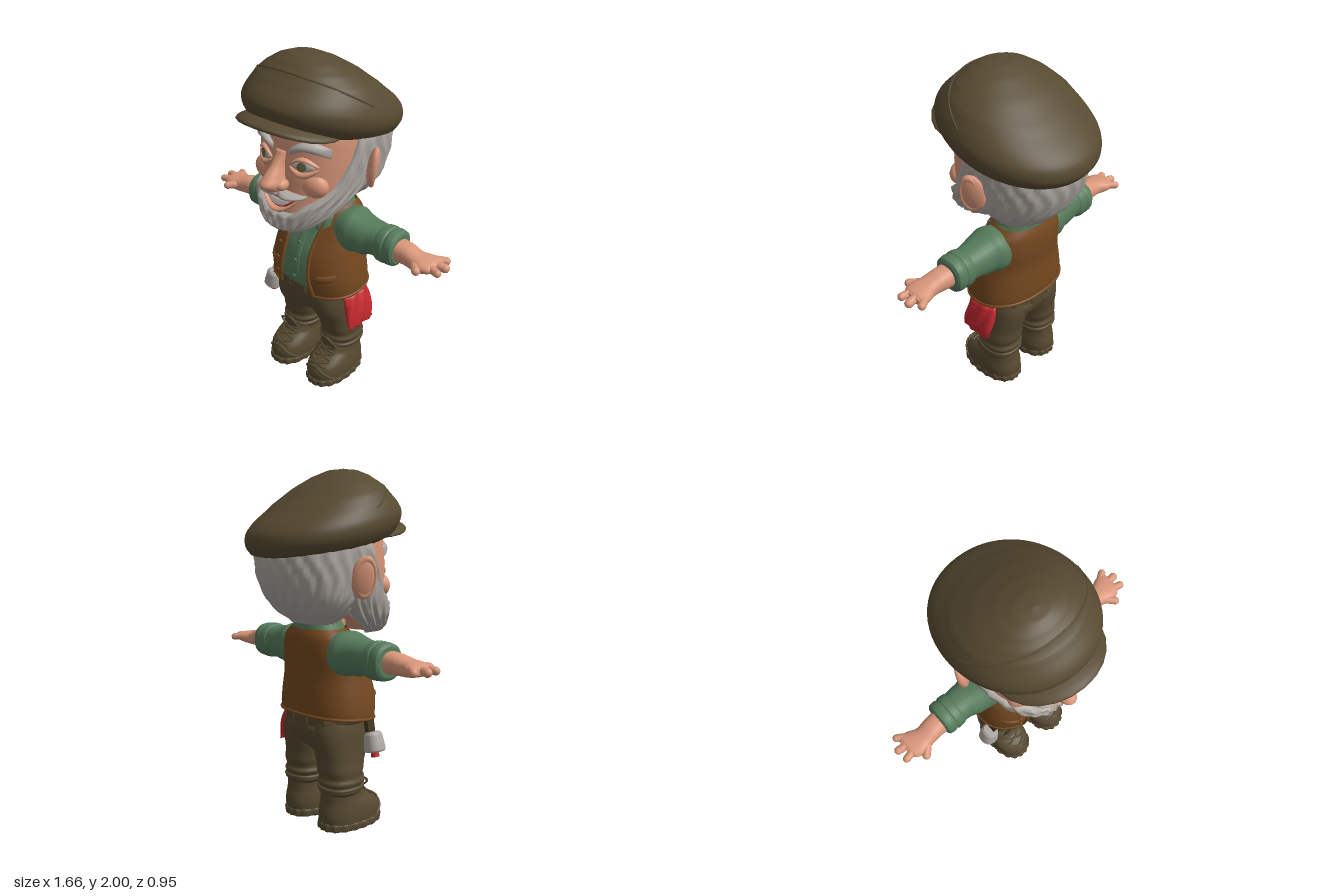
import * as THREE from 'three';

const mat = (name, color, side = THREE.FrontSide) => {
  const m = new THREE.MeshStandardMaterial({ color, side });
  m.name = name;
  return m;
};

export function createModel() {
  const root = new THREE.Group();
  const M = {
    skin: mat('skin', 0xd9977a), olive: mat('oliveCloth', 0x574a31), hair: mat('greyHair', 0xaea8a2),
    shirt: mat('greenShirt', 0x567b5b, THREE.DoubleSide), vest: mat('brownVest', 0x74481f, THREE.DoubleSide),
    red: mat('redCloth', 0xc3282d), teeth: mat('teeth', 0xe4ddd2), iris: mat('iris', 0x6a6544), dark: mat('darkBrown', 0x40331f),
  };
  const add = (name, geo, m) => {
    const mesh = new THREE.Mesh(geo, m);
    mesh.name = name;
    root.add(mesh);
  };
  // Adds a part and its mirror image across x = 0
  const pair = (name, geo, m) => {
    add(name + 'Left', geo, m);
    const g = geo.clone().scale(-1, 1, 1), ix = g.index;
    for (let i = 0; i < ix.count; i += 3) {
      const b = ix.getX(i + 1);
      ix.setX(i + 1, ix.getX(i + 2));
      ix.setX(i + 2, b);
    }
    add(name + 'Right', g, m);
  };
  // Smoothly interpolates table rows by their first column
  const at = (rows, y) => {
    let i = 0;
    while (i < rows.length - 2 && y > rows[i + 1][0]) i++;
    const p = rows[Math.max(0, i - 1)], a = rows[i], b = rows[i + 1], q = rows[Math.min(rows.length - 1, i + 2)];
    const t = Math.min(1, Math.max(0, (y - a[0]) / (b[0] - a[0])));
    return a.slice(1).map((v, k) => {
      k++;
      const m0 = (b[k] - p[k]) / 2, m1 = (q[k] - v) / 2, d = b[k] - v;
      return v + t * (m0 + t * (3 * d - 2 * m0 - m1 + t * (m0 + m1 - 2 * d)));
    });
  };
  // Point on a stack of rounded sections; rows are [y, cx, cz, rx, rz, slope, squareness]
  const N = 2.3;
  const point = (rows, y, a, off = 0, shrink = 1) => {
    const [cx, cz, rx, rz, s = 0, n = N] = at(rows, y), c = Math.sin(a), d = Math.cos(a);
    const r = shrink / (Math.abs(c) ** n + Math.abs(d) ** n) ** (1 / n);
    const z = d * r * (rz + off);
    return [cx + c * r * (rx + off), y + s * z, cz + z];
  };
  const grid = (nu, nv, f, wrap = false) => {
    const pos = [], idx = [], w = wrap ? nu : nu + 1;
    for (let j = 0; j <= nv; j++) for (let i = 0; i < w; i++) pos.push(...f(i / nu, j / nv));
    for (let j = 0; j < nv; j++) for (let i = 0; i < nu; i++) {
      const a = j * w + i, b = j * w + (i + 1) % w;
      idx.push(a, b, b + w, a, b + w, a + w);
    }
    const g = new THREE.BufferGeometry();
    g.setAttribute('position', new THREE.Float32BufferAttribute(pos, 3));
    g.setIndex(idx);
    g.computeVertexNormals();
    return g;
  };
  // Closed loft through the sections
  const loft = (rows, off = () => 0, nu = 44) => {
    const n = (rows.length - 1) * 6;
    return grid(nu, n + 2, (u, v) => {
      const j = Math.round(v * (n + 2)) - 1, t = Math.min(n, Math.max(0, j)), k = Math.min(rows.length - 2, Math.floor(t / 6));
      const y = rows[k][0] + (rows[k + 1][0] - rows[k][0]) * (t / 6 - k), a = u * Math.PI * 2;
      return point(rows, y, a, off(a, y), j < 0 || j > n ? 0.001 : 1);
    }, true);
  };
  // Raised patch following the front (or back) of a loft
  const patch = (rows, x0, x1, top, bot, off, bulge = 0, dir = 1) => grid(18, 8, (u, v) => {
    const s = dir > 0 ? u : 1 - u, x = x0 + (x1 - x0) * s, y = bot(s) + (top(s) - bot(s)) * v;
    const [cx, cz, rx, rz] = at(rows, y), q = Math.min(0.97, Math.abs((x - cx) / rx));
    const h = Math.sqrt(Math.max(0, Math.sin(Math.PI * u) * Math.sin(Math.PI * v)));
    return [x, y, cz + dir * (rz * (1 - q ** N) ** (1 / N) + off + bulge * h)];
  });
  const ball = (x, y, z, rx, ry, rz) => new THREE.SphereGeometry(1, 24, 16).scale(rx, ry, rz).translate(x, y, z);
  const tube = (pts, r, n = 40) => new THREE.TubeGeometry(
    new THREE.CatmullRomCurve3(pts.map(p => new THREE.Vector3(...p))), n, r, 8);
  const path = (n, f) => Array.from({ length: n + 1 }, (_, i) => f(i / n));

  // Head and hair
  const head = [[1.065, 0, 0.27, 0.01, 0.01], [1.08, 0, 0.26, 0.07, 0.045], [1.1, 0, 0.24, 0.12, 0.085], [1.14, 0, 0.2, 0.17, 0.13],
    [1.2, 0, 0.14, 0.22, 0.185], [1.3, 0, 0.06, 0.265, 0.25], [1.4, 0, 0.03, 0.285, 0.275],
    [1.5, 0, 0.01, 0.298, 0.285], [1.6, 0, 0, 0.302, 0.285], [1.7, 0, 0, 0.29, 0.27]];
  add('head', loft(head.slice(2)), M.skin);
  const strands = (a, y) => 0.005 * Math.sin(a * 22 + 3 * Math.sin(y * 17)) + 0.003 * Math.sin(a * 41 - y * 30);
  add('hair', loft([[1.16, 0, -0.1, 0.14, 0.1], [1.22, 0, -0.11, 0.22, 0.17], [1.3, 0, -0.11, 0.275, 0.235],
    [1.4, 0, -0.11, 0.3, 0.28], [1.5, 0, -0.1, 0.315, 0.31], [1.6, 0, -0.09, 0.32, 0.312], [1.68, 0, -0.09, 0.31, 0.3]], strands, 120), M.hair);
  add('neck', loft([[1.0, 0, -0.05, 0.12, 0.11], [1.25, 0, -0.03, 0.13, 0.12]]), M.skin);

  // Beard with sideburns: a shell from the cheek line down to the chin
  const beardTop = [[0, 1.195], [25, 1.205], [35, 1.25], [50, 1.3], [65, 1.37], [76, 1.5], [84, 1.64], [104, 1.64], [112, 1.42], [130, 1.35]];
  add('beard', grid(110, 30, (u, v) => {
    const deg = (u * 2 - 1) * 130, a = deg * Math.PI / 180, top = at(beardTop, Math.abs(deg))[0];
    const y = 1.066 + (top - 1.066) * v, edge = Math.min(1, (1 - v) * 7, v * 14);
    return point(head, y, a, 0.03 * Math.sqrt(edge) - 0.004 + edge * strands(a, y));
  }), M.hair);

  // Face
  add('nose', loft([[1.315, 0, 0.32, 0.02, 0.03], [1.33, 0, 0.335, 0.04, 0.065], [1.37, 0, 0.355, 0.05, 0.084],
    [1.405, 0, 0.345, 0.042, 0.07], [1.46, 0, 0.31, 0.031, 0.045], [1.53, 0, 0.28, 0.036, 0.025]], undefined, 28), M.skin);
  pair('nostril', ball(0.045, 1.36, 0.335, 0.028, 0.03, 0.04), M.skin);
  pair('cheek', ball(0.15, 1.36, 0.222, 0.1, 0.075, 0.062), M.skin);
  pair('eyeWhite', patch(head, 0.075, 0.195, u => 1.465 + 0.034 * Math.sin(Math.PI * u), u => 1.465 - 0.024 * Math.sin(Math.PI * u), 0.002, 0.008), M.hair);
  pair('iris', patch(head, 0.11, 0.16, u => 1.47 + 0.026 * Math.sin(Math.PI * u) ** 0.5, u => 1.47 - 0.026 * Math.sin(Math.PI * u) ** 0.5, 0.011, 0.002), M.iris);
  pair('upperLid', patch(head, 0.06, 0.21, u => 1.475 + 0.045 * Math.sin(Math.PI * u), u => 1.46 + 0.034 * Math.sin(Math.PI * u), 0, 0.02), M.skin);
  pair('eyeBag', patch(head, 0.06, 0.215, u => 1.465 - 0.024 * Math.sin(Math.PI * u), u => 1.455 - 0.05 * Math.sin(Math.PI * u), 0, 0.018), M.skin);
  pair('eyebrow', patch(head, 0.055, 0.25, u => 1.55 + 0.055 * Math.sin(Math.PI * u * 0.9), u => 1.515 + 0.035 * Math.sin(Math.PI * u), 0, 0.036), M.hair);
  const smile = u => (2 * u - 1) ** 2;
  add('mouth', patch(head, -0.115, 0.115, u => 1.27 + 0.02 * smile(u), u => 1.215 + 0.075 * smile(u), 0.006, 0.004), M.red);
  add('teeth', patch(head, -0.105, 0.105, u => 1.27 + 0.016 * smile(u), u => 1.229 + 0.055 * smile(u), 0.014, 0.004), M.teeth);
  add('lowerLip', patch(head, -0.13, 0.13, u => 1.221 + 0.072 * smile(u), u => 1.192 + 0.09 * smile(u), 0.004, 0.03), M.skin);
  pair('moustache', patch(head, 0, 0.16, u => 1.33 - 0.02 * u, u => 1.272 + 0.02 * u * u, 0.004, 0.055), M.hair);
  pair('ear', ball(0, 0, 0, 0.03, 0.115, 0.068).rotateY(0.55).rotateZ(-0.15).translate(0.335, 1.42, -0.04), M.skin);
  pair('earRim', new THREE.TorusGeometry(0.075, 0.016, 10, 28).scale(0.65, 1.28, 1).rotateY(Math.PI / 2 + 0.55).rotateZ(-0.15).translate(0.345, 1.42, -0.035), M.skin);

  // Flat cap
  const cap = [[1.575, 0, -0.03, 0.3, 0.34, 0.18], [1.6, 0, -0.04, 0.36, 0.405, 0.18], [1.665, 0, -0.035, 0.392, 0.442, 0.18],
    [1.74, 0, -0.02, 0.383, 0.424, 0.17], [1.845, 0, 0.01, 0.325, 0.305, 0.18], [1.91, 0, 0.05, 0.255, 0.22, 0.12], [1.96, 0, 0.085, 0.175, 0.14, 0.05],
    [1.99, 0, 0.105, 0.09, 0.075, 0], [2.0, 0, 0.11, 0.005, 0.005, 0]].map(r => [...r, 2.08]);
  add('cap', loft(cap, undefined, 64), M.olive);
  add('capSeam', tube(path(16, t => point(cap, 1.91 - 0.14 * (2 * t - 1) ** 2, (2 * t - 1) * 1.5, -0.002)), 0.006), M.olive);
  const brim = ball(0, 0, 0.215, 0.3, 0.042, 0.262), bp = brim.attributes.position;
  for (let i = 0; i < bp.count; i++) bp.setY(i, bp.getY(i) + 1.682 - 0.5 * bp.getX(i) ** 2 + 0.1 * (bp.getZ(i) - 0.215));
  brim.computeVertexNormals();
  add('capBrim', brim, M.olive);

  // Shirt
  const vest = [[0.6, 0, 0, 0.285, 0.2], [0.66, 0, -0.005, 0.295, 0.215], [0.75, 0, -0.002, 0.286, 0.219], [0.88, 0, -0.012, 0.262, 0.2],
    [1.0, 0, -0.048, 0.245, 0.17], [1.09, 0, -0.067, 0.22, 0.144], [1.15, 0, -0.078, 0.155, 0.11]];
  const torso = vest.slice(1).map(([y, x, z, a, b]) => [y, x, z, a - 0.018, b - 0.014]);
  add('shirt', loft(torso), M.shirt);
  add('collar', grid(40, 6, (u, v) => point([[1.07, 0, -0.07, 0.18, 0.14], [1.12, 0, -0.07, 0.16, 0.13], [1.19, 0, -0.075, 0.135, 0.12]],
    1.07 + 0.12 * v, u * Math.PI * 2), true), M.shirt);
  pair('collarFlap', patch(torso, 0.012, 0.15, () => 1.13, u => 1.06 - 0.055 * (1 - Math.abs(u - 0.6) / 0.6), 0.022, 0.012), M.shirt);
  add('throat', patch(torso, -0.025, 0.025, () => 1.07, u => 1.0 + 0.06 * Math.abs(2 * u - 1), 0.006), M.skin);
  add('shirtPlacket', patch(torso, -0.025, 0.025, () => 1.0, () => 0.67, 0.003, 0.006), M.shirt);
  const onFront = (x, y, r, o) => {
    const [, cz, rx, rz] = at(vest, y);
    return ball(x, y, cz + rz * (1 - Math.abs(x / rx) ** N) ** (1 / N) + o, r, r, r * 0.6);
  };
  for (const y of [0.72, 0.82, 0.92]) add('shirtButton', onFront(0, y, 0.011, 0), M.shirt);

  // Open vest with rolled edges
  const gap = [[0.6, 0.13], [0.75, 0.105], [0.9, 0.095], [1.0, 0.105], [1.14, 0.125]];
  const vestAt = (u, v) => {
    const yb = 0.62 + 0.515 * v, a0 = Math.asin(at(gap, yb)[0] / at(vest, yb)[2] * 0.95), a = a0 + (2 * Math.PI - 2 * a0) * u;
    return point(vest, yb + 0.02 * (1 - v) * (1 - Math.cos(a)), a, 0.004);
  };
  add('vest', grid(70, 26, vestAt), M.vest);
  pair('vestEdge', tube(path(14, t => vestAt(0, t)), 0.011), M.vest);
  add('vestHem', tube(path(40, t => vestAt(t, 0)), 0.009, 120), M.vest);
  pair('vestPocket', patch(vest, 0.145, 0.25, u => 0.765 + 0.02 * u, u => 0.725 + 0.02 * u, 0.005, 0.012), M.vest);
  for (const y of [0.69, 0.78, 0.87, 0.96]) add('vestButton', onFront(-0.145, y, 0.014, 0.008), M.vest);

  // Sleeves, arms and hands; rows are [x, y, z, height, depth]
  const limb = rows => loft(rows.map(([x, y, ...r]) => [x, -y, ...r]), undefined, 32).rotateZ(-Math.PI / 2);
  pair('sleeve', limb([[0.14, 1, -0.05, 0.115, 0.12], [0.23, 1.005, -0.045, 0.126, 0.128], [0.28, 1.005, -0.04, 0.112, 0.115], [0.33, 1, -0.04, 0.104, 0.106],
    [0.38, 1.005, -0.045, 0.092, 0.095], [0.46, 1, -0.045, 0.09, 0.09]]), M.shirt);
  pair('cuff', limb([[0.415, 1, -0.045, 0.088, 0.09], [0.43, 1, -0.045, 0.1, 0.098], [0.47, 1, -0.045, 0.104, 0.1], [0.48, 1, -0.045, 0.098, 0.095],
    [0.495, 1, -0.045, 0.102, 0.099], [0.53, 1, -0.045, 0.096, 0.095], [0.54, 1, -0.045, 0.08, 0.08]]), M.shirt);
  pair('forearmAndPalm', limb([[0.5, 1, -0.04, 0.062, 0.068], [0.6, 0.998, -0.035, 0.056, 0.063], [0.66, 0.99, -0.028, 0.048, 0.064],
    [0.71, 0.99, -0.032, 0.04, 0.08], [0.755, 0.992, -0.042, 0.031, 0.078], [0.775, 0.992, -0.045, 0.02, 0.06]]), M.skin);
  const fingers = [[0.72, -0.085, 0.775, -0.122, 0.022], [0.74, -0.05, 0.808, -0.06, 0.024], [0.74, -0.008, 0.802, 0.006, 0.022], [0.65, 0.0, 0.71, 0.062, 0.023]];
  for (const [x0, z0, x1, z1, r] of fingers) {
    const d = new THREE.Vector3(x1 - x0, -0.006, z1 - z0), g = new THREE.CapsuleGeometry(r, d.length(), 6, 14);
    g.applyQuaternion(new THREE.Quaternion().setFromUnitVectors(new THREE.Vector3(0, 1, 0), d.clone().normalize()));
    pair('finger', g.translate((x0 + x1) / 2, 0.994, (z0 + z1) / 2), M.skin);
  }

  // Trousers
  const hips = [[0.43, 0, -0.01, 0.07, 0.1], [0.48, 0, -0.01, 0.18, 0.16], [0.56, 0, -0.01, 0.235, 0.188], [0.68, 0, -0.005, 0.24, 0.19]];
  add('hips', loft(hips), M.olive);
  add('belt', loft([[0.61, 0, -0.005, 0.245, 0.195], [0.62, 0, -0.005, 0.253, 0.203], [0.66, 0, -0.005, 0.253, 0.203], [0.67, 0, -0.005, 0.245, 0.195]]), M.olive);
  for (const x of [-0.17, -0.06, 0.06, 0.17]) for (const d of [1, -1])
    add('beltLoop', patch(hips, x - 0.013, x + 0.013, () => 0.67, () => 0.6, 0.016, 0.008, d), M.olive);
  pair('backPocket', patch(hips, 0.04, 0.17, () => 0.595, u => 0.515 - 0.025 * Math.sin(Math.PI * u), 0.003, 0.012, -1), M.olive);
  pair('trouserLeg', loft([[0.2, 0.152, -0.04, 0.1, 0.105], [0.225, 0.152, -0.04, 0.116, 0.122], [0.25, 0.152, -0.04, 0.11, 0.116], [0.275, 0.15, -0.035, 0.12, 0.13],
    [0.3, 0.15, -0.035, 0.112, 0.12], [0.34, 0.147, -0.035, 0.117, 0.132], [0.4, 0.14, -0.028, 0.118, 0.142], [0.48, 0.13, -0.015, 0.124, 0.172],
    [0.56, 0.12, -0.01, 0.13, 0.185], [0.64, 0.115, -0.005, 0.125, 0.175]]), M.olive);

  // Boots
  const boot = [[0.03, 0.152, 0.03, 0.118, 0.195], [0.08, 0.152, 0.03, 0.121, 0.2], [0.12, 0.152, 0.025, 0.118, 0.19], [0.15, 0.152, 0.01, 0.112, 0.167],
    [0.185, 0.152, -0.018, 0.104, 0.135], [0.25, 0.152, -0.035, 0.102, 0.115], [0.27, 0.152, -0.035, 0.094, 0.11]];
  pair('boot', loft(boot), M.olive);
  pair('sole', loft([[0, 0.152, 0.032, 0.117, 0.198], [0.006, 0.152, 0.032, 0.122, 0.203], [0.036, 0.152, 0.032, 0.123, 0.204], [0.045, 0.152, 0.032, 0.118, 0.198]],
    a => 0.003 * Math.sign(Math.sin(a * 18)), 108), M.olive);
  pair('toeCapSeam', tube(path(12, t => point(boot, 0.05 + 0.075 * Math.sin(Math.PI * t), (t * 2 - 1) * 0.95, 0.002)), 0.007), M.olive);
  pair('bootTongue', ball(0, 0, 0, 0.05, 0.065, 0.016).rotateX(0.35).translate(0.152, 0.235, 0.095), M.olive);
  pair('bootCollar', tube(path(24, t => point(boot, 0.24, 0.5 + t * 5.28, 0.006)), 0.011), M.olive);
  for (const y of [0.145, 0.175, 0.205, 0.235]) for (const s of [1, -1])
    pair('lace', tube(path(6, t => point(boot, y + s * 0.012 * (2 * t - 1), (2 * t - 1) * 0.55, 0.008)), 0.007, 14), M.olive);
  pair('laceBow', new THREE.TorusGeometry(0.022, 0.006, 8, 18).scale(1.5, 0.8, 1).rotateZ(0.4).translate(0.185, 0.24, 0.108), M.olive);

  // Hanging cloth on the left hip
  add('hipCloth', loft([[0.42, 0.318, -0.01, 0.012, 0.104], [0.48, 0.304, -0.01, 0.026, 0.108], [0.56, 0.28, -0.01, 0.034, 0.104], [0.61, 0.262, -0.01, 0.034, 0.1], [0.628, 0.255, -0.01, 0.022, 0.09]],
    (a, y) => 0.006 * Math.sin(Math.cos(a) * 8 + y * 28), 64), M.red);

  // Hammer hanging from the right hip
  const piece = (g, x, y) => g.rotateZ(-0.2).translate(x, y, 0.08);
  add('hammerStrap', piece(new THREE.BoxGeometry(0.03, 0.12, 0.05), -0.262, 0.59), M.dark);
  add('hammerHead', piece(loft([[-0.055, 0, 0, 0.05, 0.052], [-0.045, 0, 0, 0.056, 0.058], [0.04, 0, 0, 0.047, 0.05], [0.055, 0, 0, 0.036, 0.04]]), -0.3, 0.505), M.hair);
  add('hammerHandle', piece(new THREE.CylinderGeometry(0.02, 0.024, 0.05, 16), -0.308, 0.445), M.red);
  return root;
}
